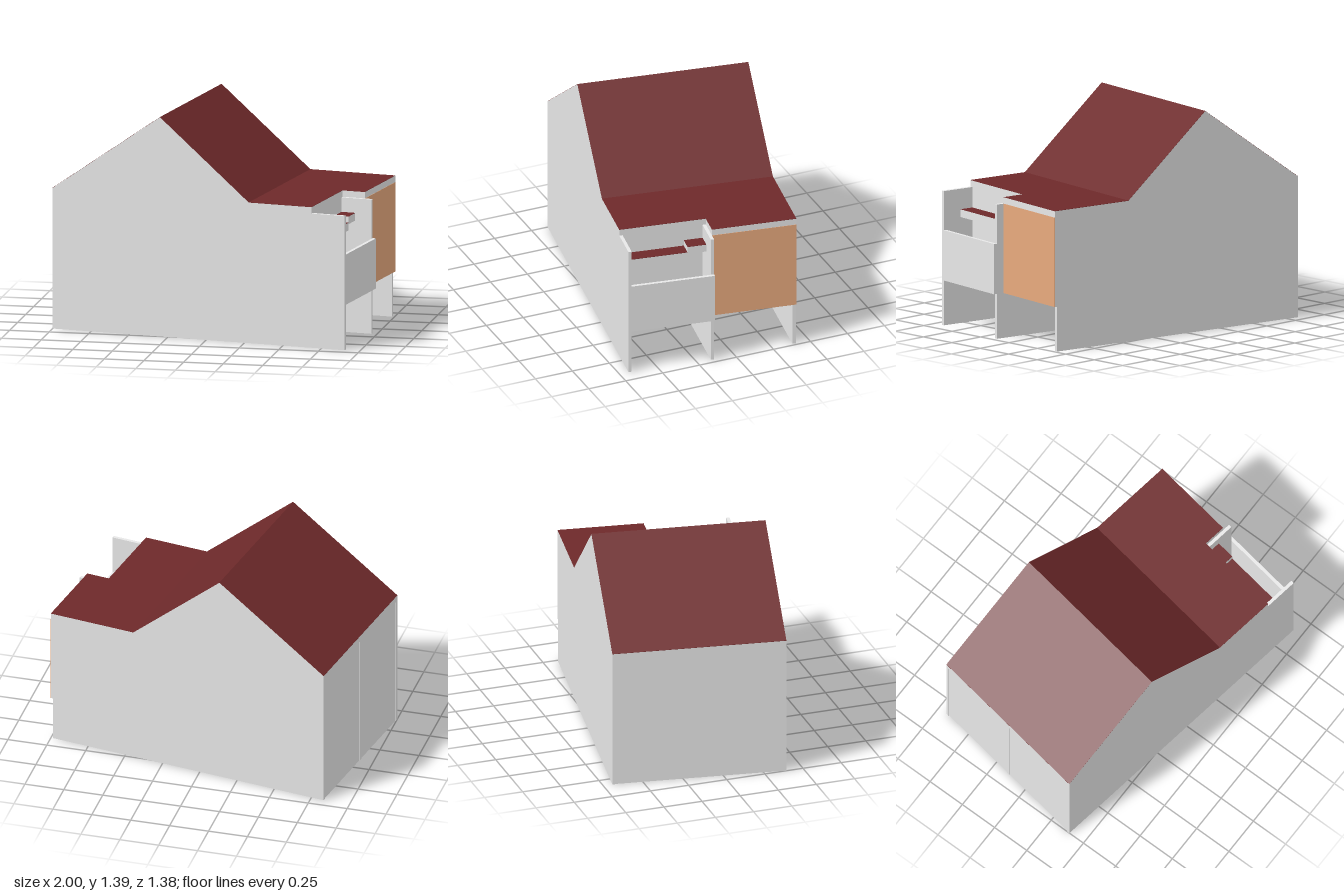
import * as THREE from 'three';

const wallMat = new THREE.MeshStandardMaterial({ color: 0xe7e7e7 });
wallMat.name = 'plaster grey';
const roofMat = new THREE.MeshStandardMaterial({ color: 0x6e292a });
roofMat.name = 'roof red';
const woodMat = new THREE.MeshStandardMaterial({ color: 0xe8aa7e });
woodMat.name = 'timber orange';

// Key lines of the house, before it is turned on its plot
const LEFT = -0.929, RIDGE = -0.22, VALLEY = 0.366, RIGHT = 0.926, RECESS = 0.78, FIN = 0.999;
const BACK = -0.554, MID = -0.013, FRONT = 0.541, T = 0.021;
const EAVE = 0.847, PEAK = 1.344, SOFFIT = 0.283, ROOF_T = 0.04, SKIN = 0.0015;
const ENTRANCE = 0.257;

// Underside line of the roof, ending at a given right edge
const roofLine = (right) => [[LEFT, EAVE], [RIDGE, PEAK], [VALLEY, EAVE], [right, EAVE]];

export function createModel() {
  const model = new THREE.Group();
  model.name = 'house';
  const house = new THREE.Group();
  house.name = 'turnedHouse';
  house.rotation.y = -0.155;
  model.add(house);

  function add(name, geometry, material) {
    const mesh = new THREE.Mesh(geometry, material);
    mesh.name = name;
    house.add(mesh);
    return mesh;
  }

  function box(name, material, x0, x1, y0, y1, z0, z1) {
    const mesh = add(name, new THREE.BoxGeometry(x1 - x0, y1 - y0, z1 - z0), material);
    mesh.position.set((x0 + x1) / 2, (y0 + y1) / 2, (z0 + z1) / 2);
  }

  function slice(name, material, points, z0, z1) {
    const shape = new THREE.Shape(points.map(([x, y]) => new THREE.Vector2(x, y)));
    const geometry = new THREE.ExtrudeGeometry(shape, { depth: z1 - z0, bevelEnabled: false });
    add(name, geometry, material).position.z = z0;
  }

  // Three parallel gable walls; the back one steps in a little below the upper floor
  function gableWall(name, right, foot, z0) {
    const base = [[LEFT, 0], [foot, 0]];
    if (foot < right) base.push([foot, SOFFIT], [right, SOFFIT]);
    slice(name, wallMat, [...base, ...roofLine(right).reverse()], z0, z0 + T);
  }
  gableWall('backWall', RIGHT, RIGHT - 0.015, BACK);
  gableWall('middleWall', FIN - T, FIN - T, MID);
  gableWall('frontWall', FIN, FIN, FRONT - T);

  // Roof in two bays; the front one stops short at the balcony
  function roofBand(name, material, right, low, high, z0, z1) {
    const line = roofLine(right);
    const lower = line.map(([x, y]) => [x, y + low]);
    const upper = line.map(([x, y]) => [x, y + high]).reverse();
    slice(name, material, [...lower, ...upper], z0, z1);
  }
  for (const [bay, right, z0, z1] of [['back', RIGHT, BACK, MID], ['front', RECESS, MID, FRONT]]) {
    roofBand(bay + 'RoofSlab', wallMat, right, 0, ROOF_T, z0, z1);
    roofBand(bay + 'RoofCovering', roofMat, right, ROOF_T, ROOF_T + SKIN, z0, z1);
  }

  // Left end panels, set in slightly between the gable walls
  box('leftBackPanel', wallMat, LEFT + 0.004, LEFT + 0.012, 0, EAVE, BACK + T, MID);
  box('leftFrontPanel', wallMat, LEFT + 0.004, LEFT + 0.012, 0, EAVE, MID + T, FRONT - T);

  // Walls clad in timber on their outer side: upper right side and entrance
  function cladWall(name, x, y0, z0, z1) {
    box(name + 'Body', wallMat, x - T, x, y0, EAVE, z0, z1);
    box(name + 'Timber', woodMat, x, x + 0.002, y0, EAVE, z0, z1);
  }
  cladWall('upperSideWall', RIGHT, SOFFIT, BACK + 0.001, MID);
  cladWall('entranceWall', ENTRANCE, 0, MID + T, FRONT - T);

  // Balcony recess: inner wall and outer parapet
  box('recessWall', wallMat, RECESS - T, RECESS, SOFFIT, EAVE, MID + T, FRONT - T);
  box('balconyParapet', wallMat, FIN - T, FIN, SOFFIT, 0.6, MID, FRONT - T);

  // Two small stepped canopies over the balcony
  function canopy(name, y0, y1, z0, z1) {
    box(name + 'Slab', wallMat, RECESS, 0.87, y0, y1 - SKIN, z0, z1);
    box(name + 'Covering', roofMat, RECESS, 0.87, y1 - SKIN, y1, z0, z1);
  }
  canopy('lowCanopy', 0.668, 0.718, 0.128, FRONT - T);
  canopy('highCanopy', 0.707, 0.756, MID + T, 0.128);

  return model;
}
